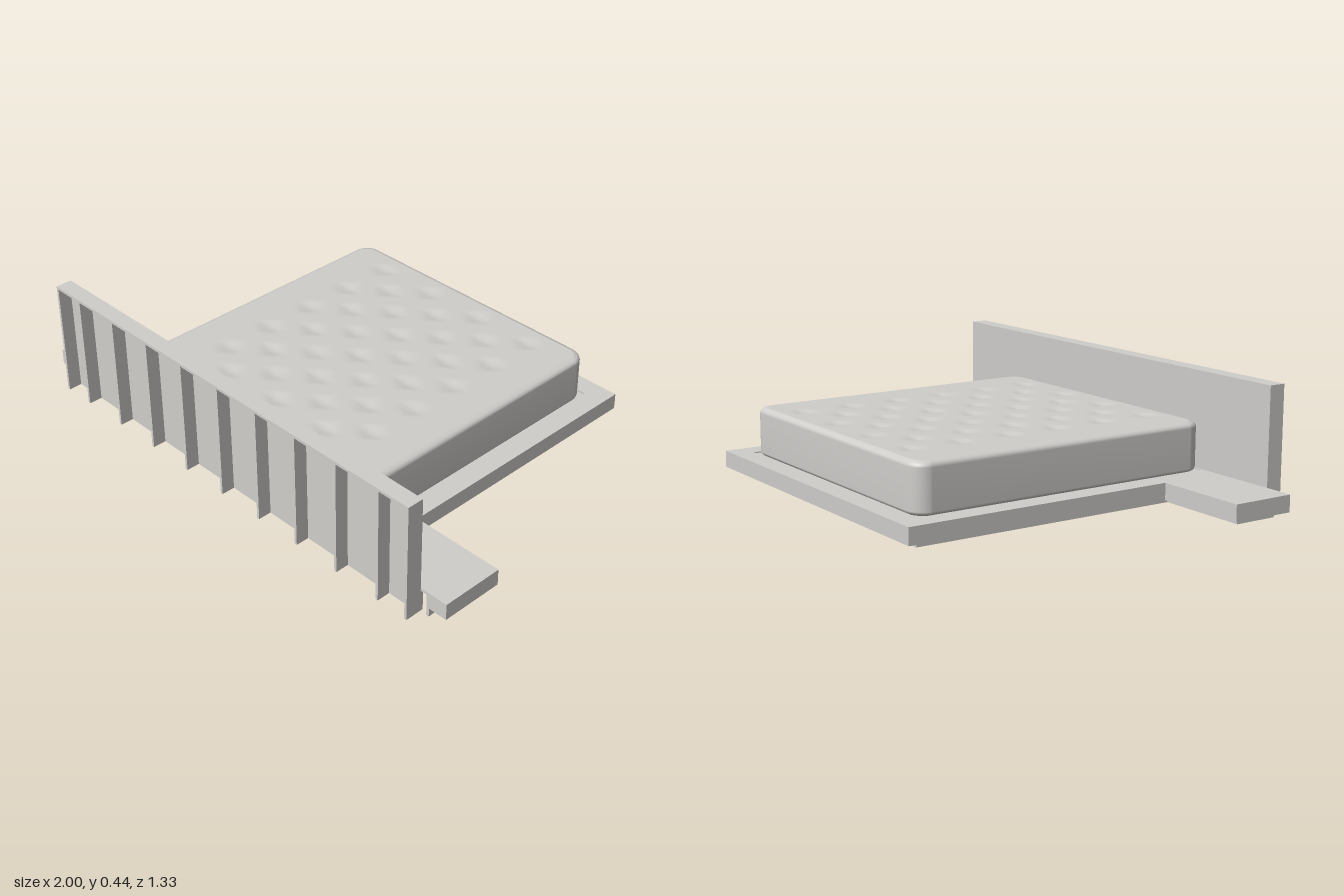
import * as THREE from 'three';

const grey = new THREE.MeshStandardMaterial({ color: 0xd0cecb });
grey.name = 'warm grey';

const FRONT = 0.603; // plane where the base meets the headboard

function add(group, name, geometry) {
  const mesh = new THREE.Mesh(geometry, grey);
  mesh.name = name;
  group.add(mesh);
}

// Box given by its limits on each axis
function block(group, name, [x0, x1], [y0, y1], [z0, z1]) {
  const g = new THREE.BoxGeometry(x1 - x0, y1 - y0, z1 - z0);
  g.translate((x0 + x1) / 2, (y0 + y1) / 2, (z0 + z1) / 2);
  add(group, name, g);
}

// T-shaped plan of the bed base, shrunk by d and open toward the headboard
function outline(d) {
  const half = [[1 - d, FRONT], [1 - d, 0.365 + d], [0.645 - d, 0.365 + d], [0.645 - d, -0.665 + d]];
  const other = half.map(([x, z]) => [-x, z]).reverse();
  return [...half, ...other].map(([x, z]) => new THREE.Vector2(x, -z));
}

function extrudeUp(points, y0, y1, hole) {
  const shape = new THREE.Shape(points);
  if (hole) shape.holes.push(new THREE.Path(hole));
  const g = new THREE.ExtrudeGeometry(shape, { depth: y1 - y0, bevelEnabled: false });
  g.rotateX(-Math.PI / 2);
  g.translate(0, y0, 0);
  return g;
}

const wall = (d, t, y0, y1) => extrudeUp([...outline(d), ...outline(d + t).reverse()], y0, y1);

function createHeadboard() {
  const g = new THREE.Group();
  g.name = 'headboard';
  block(g, 'headboardPanel', [-0.89, 0.89], [0, 0.445], [FRONT, 0.614]);
  block(g, 'headboardCap', [-0.89, 0.89], [0.435, 0.445], [0.614, 0.665]);
  for (const x of [0, 0.19, 0.378, 0.568, 0.758, 0.885]) {
    for (const s of x ? [1, -1] : [1]) {
      block(g, 'headboardRib', [s * x - 0.005, s * x + 0.005], [0, 0.435], [0.614, 0.665]);
    }
  }
  return g;
}

function createBase() {
  const g = new THREE.Group();
  g.name = 'base';
  const under = 0.083, top = 0.094, t = 0.005;
  // Top surface with a rectangular well that holds the mattress
  const well = [[-0.563, -0.59], [0.563, -0.59], [0.563, 0.597], [-0.563, 0.597]];
  add(g, 'baseTop', extrudeUp(outline(0), under, top, well.map(([x, z]) => new THREE.Vector2(x, -z))));
  block(g, 'wellFloor', [-0.565, 0.565], [0.045, 0.09], [-0.585, 0.597]);
  add(g, 'outerRim', wall(0, 0.011, 0.033, under));
  add(g, 'innerSkirt', wall(0.073, 0.011, 0, under));
  block(g, 'skirtFront', [-0.89, 0.89], [0, under], [FRONT - 0.011, FRONT]);

  // Short ribs joining rim and skirt
  const y = [0.04, under];
  for (let i = -3; i <= 3; i++) {
    block(g, 'footRib', [i * 0.19 - t, i * 0.19 + t], y, [-0.656, -0.59]);
  }
  for (const s of [1, -1]) {
    const span = (a, b) => (s > 0 ? [a, b] : [-b, -a]);
    for (let i = 0; i < 6; i++) {
      const z = -0.57 + i * 0.17;
      block(g, 'sideRib', span(0.57, 0.636), y, [z - t, z + t]);
    }
    for (const x of [0.6, 0.758, 0.9]) block(g, 'wingRib', span(x - t, x + t), y, [0.374, 0.44]);
    block(g, 'wingEndRib', span(0.925, 0.99), y, [0.505, 0.515]);
    block(g, 'wingFront', span(0.927, 0.99), [0.033, under], [FRONT - 0.011, FRONT]);
    block(g, 'wingDivider', span(0.561, 0.572), [0, under], [0.438, 0.595]);
    block(g, 'lengthwiseBeam', span(0.184, 0.196), [0, 0.045], [-0.585, 0.595]);
  }
  // Ribs across the underside of the floor
  for (let i = 1; i < 7; i++) {
    const z = -0.595 + i * 0.17;
    block(g, 'crossRib', [-0.563, 0.563], [0, 0.045], [z - 0.009, z + 0.009]);
  }
  return g;
}

function createMattress() {
  const g = new THREE.Group();
  g.name = 'mattress';
  const W = 0.564, D = 0.594, R = 0.065, inset = 0.024, top = 0.268;

  // Rounded-rectangle side wall: a lathe whose quadrants are pulled to the corners
  const profile = [[0.012, 0.09], [0.003, 0.096], [0, 0.104], [0, 0.248], [0.003, 0.257], [0.01, 0.264], [inset, top]];
  const n = 48;
  const side = new THREE.LatheGeometry(profile.map(([d, y]) => new THREE.Vector2(R - d, y)), n, Math.PI / n);
  const p = side.attributes.position;
  for (let i = 0; i < p.count; i++) {
    p.setX(i, p.getX(i) + Math.sign(p.getX(i)) * (W - R));
    p.setZ(i, p.getZ(i) + Math.sign(p.getZ(i)) * (D - R));
  }
  side.computeVertexNormals();
  add(g, 'mattressSide', side);

  // Tufted top: a fine grid with staggered shallow pits
  const pits = [];
  for (let r = 0; r < 11; r++) {
    const count = r % 2 ? 3 : 4;
    for (let c = 0; c < count; c++) pits.push([(c - (count - 1) / 2) * 0.243, (r - 5) * 0.098]);
  }
  const cap = new THREE.PlaneGeometry(2 * (W - inset), 2 * (D - inset), 72, 76);
  cap.rotateX(-Math.PI / 2);
  const q = cap.attributes.position;
  for (let i = 0; i < q.count; i++) {
    const x = q.getX(i), z = q.getZ(i);
    let dip = 0;
    for (const [px, pz] of pits) {
      dip = Math.max(dip, 1 - Math.abs(x - px) / 0.065 - Math.abs(z - pz) / 0.055);
    }
    q.setY(i, top - 0.009 * dip);
    // Map the square corners onto the rounded outline
    const ex = Math.abs(x) - (W - R), ez = Math.abs(z) - (D - R);
    if (ex > 0 && ez > 0) {
      const k = Math.max(ex, ez) / Math.hypot(ex, ez);
      q.setX(i, Math.sign(x) * (W - R + ex * k));
      q.setZ(i, Math.sign(z) * (D - R + ez * k));
    }
  }
  cap.computeVertexNormals();
  add(g, 'mattressTop', cap);
  g.position.z = 0.009;
  return g;
}

export function createModel() {
  const bed = new THREE.Group();
  bed.name = 'bed';
  bed.add(createHeadboard(), createBase(), createMattress());
  return bed;
}
